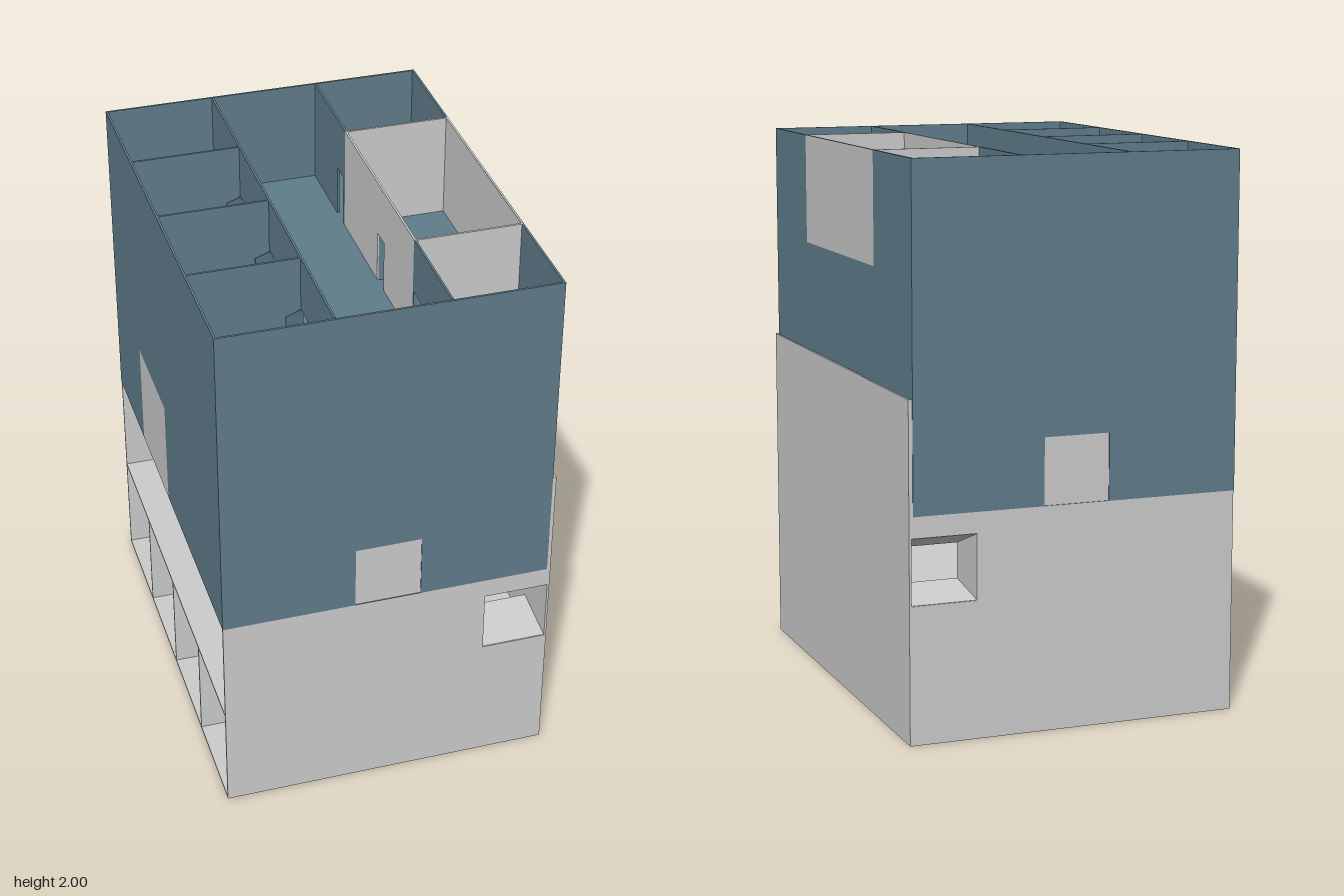
import * as THREE from 'three';

const T = 0.008; // panel thickness
const STOREY = 0.4;
const grey = new THREE.MeshStandardMaterial({ color: 0xcccccc });
const teal = new THREE.MeshStandardMaterial({ color: 0x607d8b });

function rectPath(path, [u0, u1, v0, v1]) {
  path.moveTo(u0, v0);
  path.lineTo(u1, v0);
  path.lineTo(u1, v1);
  path.lineTo(u0, v1);
  path.closePath();
  return path;
}

// Thin panel centred on a plane; rect and holes are [u0, u1, v0, v1].
// axis x: u = z, v = y.  axis y: u = x, v = z.  axis z: u = x, v = y.
function panel(parent, name, material, axis, pos, rect, holes = []) {
  const shape = rectPath(new THREE.Shape(), rect);
  for (const h of holes) shape.holes.push(rectPath(new THREE.Path(), h));
  const geo = new THREE.ExtrudeGeometry(shape, { depth: T, bevelEnabled: false });
  geo.translate(0, 0, -T / 2);
  if (axis === 'x') geo.rotateY(-Math.PI / 2);
  if (axis === 'y') geo.rotateX(Math.PI / 2);
  const mesh = new THREE.Mesh(geo, material);
  mesh.position[axis] = pos;
  mesh.name = name;
  parent.add(mesh);
}

// Door leaves: [hinge z, direction along z]
const DOORS = {
  '-1': [[-0.42, -1], [-0.385, 1], [0.015, 1], [0.41, 1]],
  '1': [[-0.42, -1], [0, 1], [0.41, 1]],
};
const DOOR_W = 0.075, DOOR_H = 0.2;

// One row of cells: corridor wall with doorways, open doors and dividers.
// room = [z0, z1] marks one grey room within the row.
function cellRow(parent, side, y, room) {
  const group = new THREE.Group();
  group.name = 'cellRow';
  const wallX = side * 0.2, outerX = side < 0 ? -0.6 : 0.586;
  const inner = Math.min(wallX, outerX), outer = Math.max(wallX, outerX);
  const cuts = room ? [-0.79, room[0], room[1], 0.79] : [-0.79, 0.79];

  for (let i = 0; i + 1 < cuts.length; i++) {
    const holes = DOORS[side]
      .map(([z, d]) => [Math.min(z, z + d * DOOR_W), Math.max(z, z + d * DOOR_W), y + 0.006, y + DOOR_H])
      .filter((h) => h[0] > cuts[i] && h[1] < cuts[i + 1]);
    panel(group, 'corridorWall', i === 1 ? grey : teal, 'x', wallX, [cuts[i], cuts[i + 1], y, y + STOREY], holes);
  }
  for (const z of [-0.4, 0, 0.4]) {
    if (room && z > room[0] && z < room[1]) continue;
    const edge = room && room.includes(z);
    panel(group, 'divider', edge ? grey : teal, 'z', z, [inner, outer, y, y + STOREY]);
  }
  for (const [z, d] of DOORS[side]) {
    const leaf = new THREE.Mesh(new THREE.BoxGeometry(DOOR_W, DOOR_H, 0.003), teal);
    leaf.name = 'doorLeaf';
    leaf.position.set(wallX + side * 0.035, y + DOOR_H / 2 + 0.004, z + d * 0.0175);
    leaf.rotation.y = -Math.atan2(d * 0.0175, side * 0.035);
    group.add(leaf);
  }
  parent.add(group);
}

// Sloping plates narrowing the side opening towards the inside
function embrasure(parent, s) {
  for (const [yOut, yIn] of [[0.49, 0.52], [0.725, 0.65]]) {
    const run = 0.2;
    const plate = new THREE.Mesh(
      new THREE.BoxGeometry(0.24, 0.003, Math.hypot(run, yIn - yOut)), grey);
    plate.name = 'embrasurePlate';
    plate.position.set(0.478, (yOut + yIn) / 2, s * 0.695);
    plate.rotation.x = s * Math.atan2(yIn - yOut, run);
    parent.add(plate);
  }
  panel(parent, 'embrasureSide', grey, 'x', 0.355, [Math.min(s * 0.595, s * 0.795), Math.max(s * 0.595, s * 0.795), 0.48, 0.73]);
}

export function createModel() {
  const model = new THREE.Group();
  model.name = 'cellBlock';
  const base = new THREE.Group();
  base.name = 'base';
  const upper = new THREE.Group();
  upper.name = 'upperStoreys';
  model.add(base, upper);

  // Grey base: floors, end walls and the tall side wall
  panel(base, 'groundFloor', grey, 'y', T / 2, [-0.604, 0.604, -0.798, 0.798]);
  const slots = [-0.8, -0.4, 0, 0.4].map((z) => [-0.44, -0.22, z + 0.015, z + 0.085]);
  panel(base, 'firstFloor', grey, 'y', 0.4 - T / 2, [-0.604, 0.6, -0.796, 0.796], slots);
  panel(base, 'sideWall', grey, 'x', 0.6, [-0.798, 0.798, 0, 1.2]);
  panel(base, 'innerWall', grey, 'x', -0.2, [-0.79, 0.79, 0, 0.796]);
  for (const z of [-0.4, 0, 0.4]) panel(base, 'groundDivider', grey, 'z', z, [-0.604, -0.2, 0, 0.4]);
  for (const s of [-1, 1]) {
    panel(base, 'endWall', grey, 'z', s * 0.794, [-0.604, 0.604, 0, 1.2], [[0.36, 0.598, 0.49, 0.725]]);
    embrasure(base, s);
    // Teal end walls with a doorway at the bottom
    panel(upper, 'upperEndWall', teal, 'z', s * 0.797, [-0.605, 0.59, 0.8, 2], [[-0.125, 0.115, 0.801, 1.04]]);
  }

  // Teal outer side walls, each with one grey room panel set in
  panel(upper, 'leftOuterWall', teal, 'x', 0.586, [-0.8, 0.8, 0.8, 2], [[-0.4, 0.4, 1.6, 1.9995]]);
  panel(upper, 'leftRoomPanel', grey, 'x', 0.586, [-0.4, 0.4, 1.6, 2]);
  panel(upper, 'rightOuterWall', teal, 'x', -0.601, [-0.8, 0.8, 0.8, 2], [[-0.4, 0, 0.801, 1.2]]);
  panel(upper, 'rightRoomPanel', grey, 'x', -0.601, [-0.4, 0, 0.8, 1.2]);

  // Three storeys of cells on both sides of a corridor
  for (let i = 0; i < 3; i++) {
    const y = 0.8 + i * STOREY;
    panel(upper, 'upperFloor', teal, 'y', y + T / 2, [-0.6, 0.586, -0.796, 0.796]);
    cellRow(upper, -1, y, i === 0 ? [-0.4, 0] : null);
    cellRow(upper, 1, y, i === 2 ? [-0.4, 0.4] : null);
  }
  return model;
}
